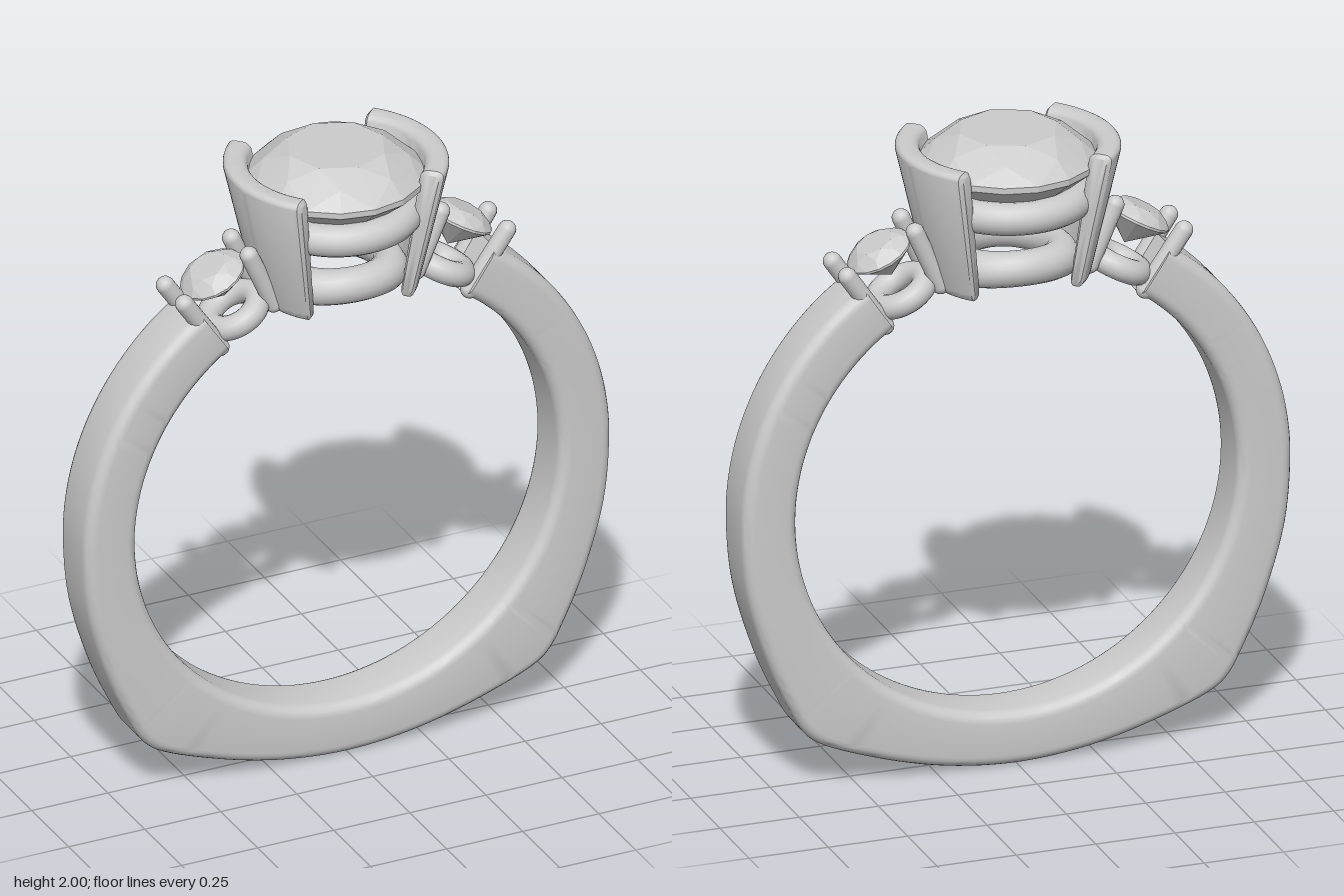
import * as THREE from 'three';
import { toCreasedNormals } from 'three/addons/utils/BufferGeometryUtils.js';
import { ConvexGeometry } from 'three/addons/geometries/ConvexGeometry.js';

const V = (x, y, z = 0) => new THREE.Vector3(x, y, z);
const CY = 0.865;      // height of the finger hole's centre
const RIN = 0.695;     // finger hole radius
const TILT = Math.PI * 0.15; // angle of the side settings from vertical

const metal = new THREE.MeshStandardMaterial({ color: 0xcccccc });
const stone = new THREE.MeshStandardMaterial({ color: 0xcccccc, flatShading: true });

function add(parent, name, geometry, material = metal) {
  const mesh = new THREE.Mesh(geometry, material);
  mesh.name = name;
  parent.add(mesh);
  return mesh;
}

// Rounded rectangle outline, counter-clockwise, as [u, v] pairs
function roundedSection(w, h, r, n = 5) {
  const pts = [];
  [[1, 1], [-1, 1], [-1, -1], [1, -1]].forEach(([sx, sy], k) => {
    for (let i = 0; i <= n; i++) {
      const a = (k + i / n) * Math.PI / 2;
      pts.push([sx * (w / 2 - r) + r * Math.cos(a), sy * (h / 2 - r) + r * Math.sin(a)]);
    }
  });
  return pts;
}

// Skin over a row of closed cross-sections, capped at both ends
function loft(rings) {
  const n = rings[0].length, last = rings.length - 1;
  const pos = [], idx = [];
  rings.forEach(ring => ring.forEach(p => pos.push(p.x, p.y, p.z)));
  for (let i = 0; i < last; i++) {
    for (let j = 0; j < n; j++) {
      const k = (j + 1) % n;
      const a = i * n + j, b = i * n + k, c = a + n, d = b + n;
      idx.push(a, b, c, b, d, c);
    }
  }
  for (const end of [0, last]) {
    const mid = rings[end].reduce((s, p) => s.add(p), V(0, 0)).divideScalar(n);
    const m = pos.length / 3;
    pos.push(mid.x, mid.y, mid.z);
    for (let j = 0; j < n; j++) {
      const a = end * n + j, b = end * n + (j + 1) % n;
      idx.push(m, ...(end ? [a, b] : [b, a]));
    }
  }
  const g = new THREE.BufferGeometry();
  g.setAttribute('position', new THREE.Float32BufferAttribute(pos, 3));
  g.setIndex(idx);
  return toCreasedNormals(g, 0.7);
}

// Shank: round above, with two soft corners at the foot
function bandGeometry() {
  const half = [];
  for (let a = 56; a >= 0; a -= 8) {
    const t = a * Math.PI / 180;
    half.push(V(0.865 * Math.cos(t), CY + 0.865 * Math.sin(t)));
  }
  half.push(V(0.847, 0.65), V(0.778, 0.414), V(0.71, 0.262), V(0.672, 0.194),
    V(0.628, 0.152), V(0.434, 0.074), V(0.222, 0.02));
  const mirrored = half.map(p => V(-p.x, p.y)).reverse();
  const outline = new THREE.CatmullRomCurve3([...half, V(0, 0), ...mirrored]);
  return loft(outline.getPoints(180).map(p => {
    const dir = V(p.x, p.y - CY), rOut = dir.length();
    dir.normalize();
    const mid = (rOut + RIN) / 2;
    return roundedSection(rOut - RIN, 0.19, 0.035)
      .map(([u, v]) => V(dir.x * (mid + u), CY + dir.y * (mid + u), v));
  }));
}

// Curved, tapering wall that holds the centre stone on the +x side
function wallGeometry() {
  const rings = [], steps = 28, span = 0.8, h = 0.435;
  for (let i = 0; i <= steps + 2; i++) {
    const s = THREE.MathUtils.clamp((i - 1) / steps, 0, 1);
    const tip = i === 0 || i === steps + 2;
    const a = (s * 2 - 1) * (span - (tip ? 0 : 0.035));
    const k = tip ? 0.7 : 1;
    rings.push(roundedSection(0.075 * k, h - (tip ? 0.024 : 0), 0.025 * k).map(([u, v]) => {
      const t = v / h + 0.5;
      const r = THREE.MathUtils.lerp(0.22, 0.3025, t) + u * THREE.MathUtils.lerp(0.55, 1, t);
      return V(r * Math.cos(a), 1.53 + t * h, r * Math.sin(a));
    }));
  }
  return loft(rings);
}

// Round brilliant cut, girdle at y = 0
function gemGeometry(R) {
  const pts = [V(0, -0.85 * R, 0)];
  const ring = (n, r, y, shift) => {
    for (let i = 0; i < n; i++) {
      const a = (i + shift) * 2 * Math.PI / n;
      pts.push(V(r * R * Math.cos(a), y * R, r * R * Math.sin(a)));
    }
  };
  ring(8, 0.57, 0.36, 0);
  ring(8, 0.81, 0.222, 0.5);
  ring(16, 1, 0.035, 0);
  ring(16, 1, -0.035, 0);
  return new ConvexGeometry(pts);
}

function ringGeometry(major, tube) {
  return new THREE.TorusGeometry(major, tube, 16, 56).rotateX(Math.PI / 2);
}

// Round-ended rod between two points
function prong(parent, name, from, to, r) {
  const dir = to.clone().sub(from);
  const m = add(parent, name, new THREE.CapsuleGeometry(r, dir.length(), 6, 14));
  m.position.copy(from).add(to).multiplyScalar(0.5);
  m.quaternion.setFromUnitVectors(V(0, 1, 0), dir.normalize());
}

export function createModel() {
  const model = new THREE.Group();
  model.name = 'ring';
  add(model, 'band', bandGeometry());

  // Centre setting
  const head = new THREE.Group();
  head.name = 'centreSetting';
  model.add(head);
  add(head, 'leftWall', wallGeometry());
  add(head, 'rightWall', wallGeometry()).rotation.y = Math.PI;
  add(head, 'upperGallery', ringGeometry(0.215, 0.05)).position.y = 1.797;

  // Lower gallery ring is bent to follow the finger hole
  const lower = ringGeometry(0.16, 0.054);
  const p = lower.attributes.position;
  for (let i = 0; i < p.count; i++) p.setY(i, p.getY(i) - 0.65 * p.getX(i) ** 2);
  add(head, 'lowerGallery', lower).position.y = 1.616;
  add(head, 'centreStone', gemGeometry(0.267), stone).position.y = 1.905;

  // Side settings: four prongs, a base ring and a small stone each
  for (const s of [1, -1]) {
    const side = new THREE.Group();
    side.name = s > 0 ? 'leftSetting' : 'rightSetting';
    model.add(side);
    const place = (mesh, r) => {
      mesh.position.set(s * r * Math.sin(TILT), CY + r * Math.cos(TILT), 0);
      mesh.rotation.z = -s * TILT;
    };
    place(add(side, 'baseRing', ringGeometry(0.078, 0.038)), 0.745);
    place(add(side, 'sideStone', gemGeometry(0.104), stone), 0.895);
    for (const z of [0.06, -0.06]) {
      prong(side, 'outerProng', V(s * 0.41, 1.45, z), V(s * 0.53, 1.625, z * 1.08), 0.028);
      prong(side, 'innerProng', V(s * 0.235, 1.555, z), V(s * 0.315, 1.735, z), 0.028);
    }
  }
  return model;
}
